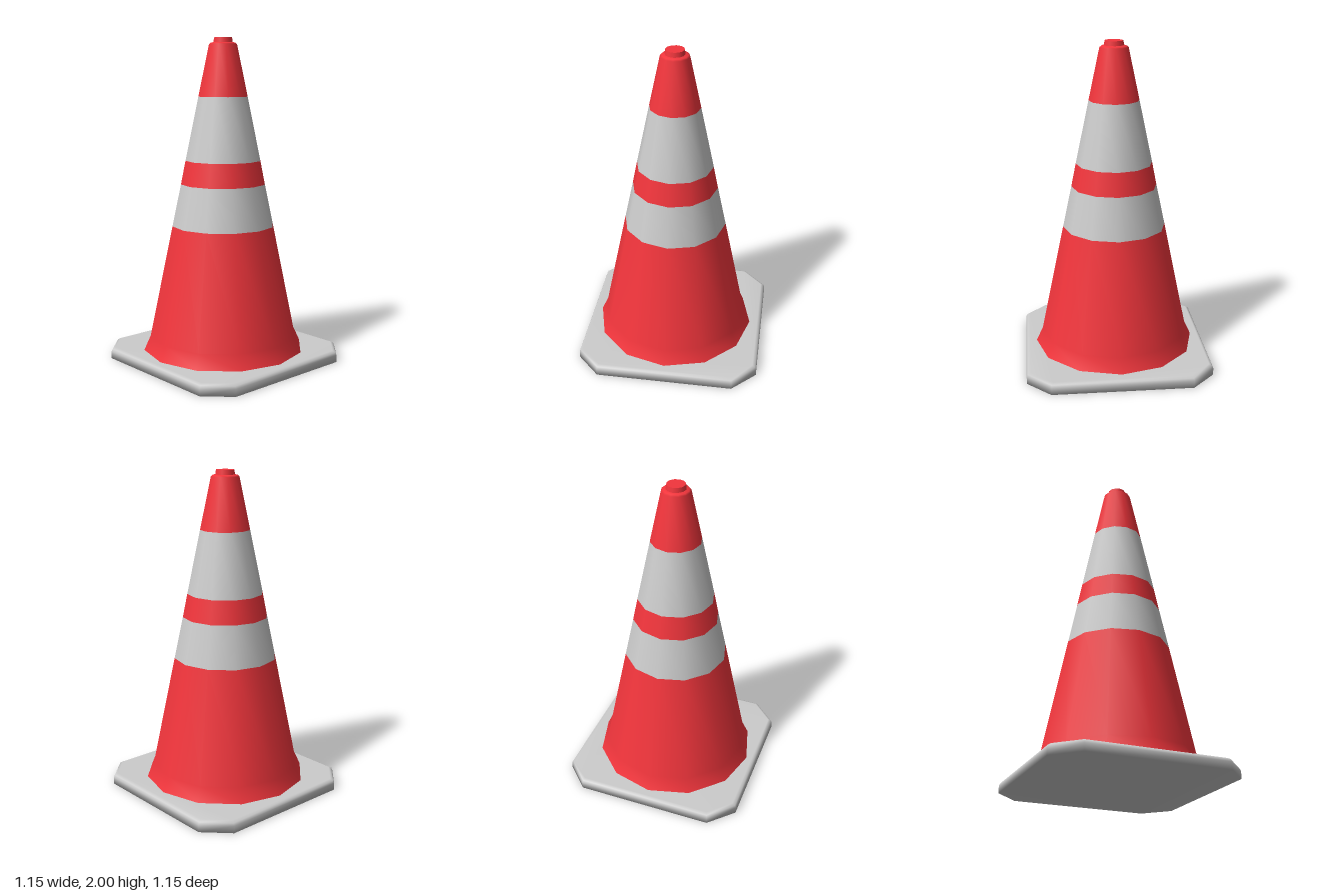
import * as THREE from 'three';

const red = new THREE.MeshStandardMaterial({ color: 0xf2353c, side: THREE.DoubleSide });
const grey = new THREE.MeshStandardMaterial({ color: 0xcccccc, side: THREE.DoubleSide });

// Twelve-sided smooth section of the cone from [radius, height] pairs
function section(name, profile, material) {
  const points = profile.map(([r, y]) => new THREE.Vector2(r, y));
  const mesh = new THREE.Mesh(new THREE.LatheGeometry(points, 12), material);
  mesh.name = name;
  mesh.position.x = -0.008;
  return mesh;
}

// Square plate with cut corners, built from stacked octagonal rings with shared normals
function plateGeometry() {
  const rings = [[0, 0], [0, 0.045], [0.007, 0.06], [0.025, 0.07]]; // inset, height
  const positions = [];
  const index = [];
  for (const [inset, y] of rings) {
    const a = 0.573 - inset;
    const b = 0.428 - inset * 0.41;
    const corners = [[a, b], [b, a], [-b, a], [-a, b], [-a, -b], [-b, -a], [b, -a], [a, -b]];
    for (const [x, z] of corners) positions.push(x, y, z);
  }
  for (let r = 0; r < rings.length - 1; r++) {
    for (let i = 0; i < 8; i++) {
      const p = r * 8 + i;
      const q = r * 8 + (i + 1) % 8;
      index.push(p, p + 8, q, q, p + 8, q + 8);
    }
  }
  // Underside and top
  const top = (rings.length - 1) * 8;
  for (let i = 1; i < 7; i++) {
    index.push(0, i, i + 1);
    index.push(top, top + i + 1, top + i);
  }
  const geometry = new THREE.BufferGeometry();
  geometry.setAttribute('position', new THREE.Float32BufferAttribute(positions, 3));
  geometry.setIndex(index);
  geometry.computeVertexNormals();
  return geometry;
}

export function createModel() {
  const model = new THREE.Group();
  model.name = 'trafficCone';

  const base = new THREE.Mesh(plateGeometry(), grey);
  base.name = 'basePlate';
  model.add(base);

  // Cone body with its reflective bands, bottom to top
  model.add(
    section('lowerBody', [[0.506, 0.068], [0.464, 0.16], [0.32, 0.85]], red),
    section('lowerBand', [[0.32, 0.85], [0.265, 1.11]], grey),
    section('middleBody', [[0.265, 1.11], [0.236, 1.255]], red),
    section('upperBand', [[0.236, 1.255], [0.154, 1.645]], grey),
    section('upperBody', [[0.154, 1.645], [0.087, 1.96], [0.078, 1.968], [0.06, 1.972]], red),
    section('tip', [[0.06, 1.972], [0.056, 2]], red),
    section('tipCap', [[0.056, 2], [0, 2]], red),
  );
  return model;
}
